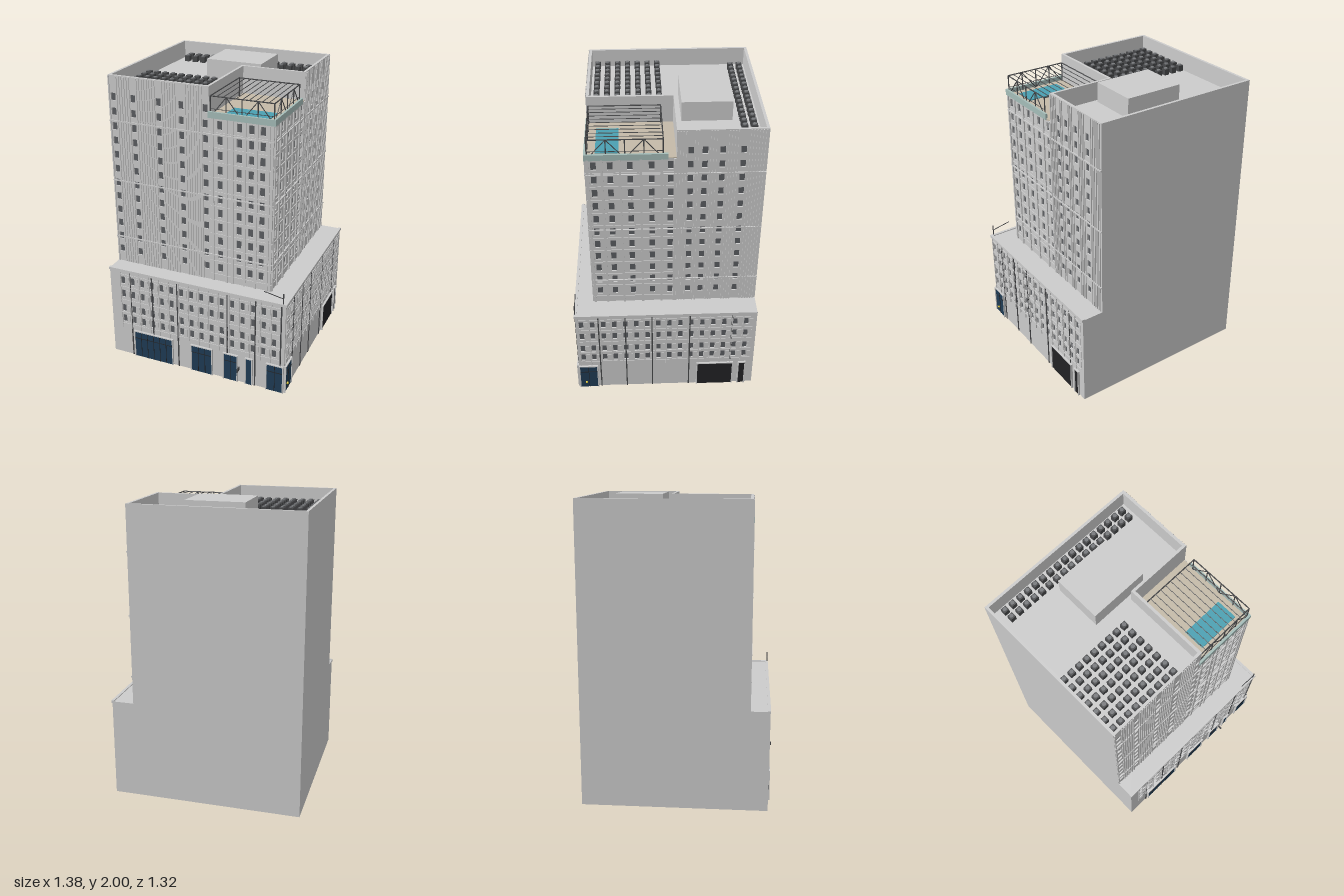
import * as THREE from 'three';
import { mergeGeometries } from 'three/addons/utils/BufferGeometryUtils.js';

const mat = (color) => new THREE.MeshStandardMaterial({ color, side: THREE.DoubleSide });
const GREY = mat(0xcccccc), GLASS = mat(0x5c5e62), DARK = mat(0x48494b), BLACK = mat(0x222225);
const BLUE = mat(0x1f3c55), WATER = mat(0x4aa0b2), DECK = mat(0xc4baa8), FASCIA = mat(0xa5bdb9), YELLOW = mat(0xd8c030);

// plan extents of podium and tower, and the inner corner of the terrace
const L = -0.643, B = -0.625, PR = 0.64, PF = 0.592, TR = 0.491, TF = 0.466, NX = 0.062, NZ = -0.08;
const PODIUM = 0.67, ROOF = 1.87, TOP = 1.99, TERRACE = 1.8, FLOOR = 0.0985;

// box given by its min and max corners
const box = (x0, x1, y0, y1, z0, z1) =>
  new THREE.BoxGeometry(x1 - x0, y1 - y0, z1 - z0).translate((x0 + x1) / 2, (y0 + y1) / 2, (z0 + z1) / 2);

// thin bar between two points
function bar(a, b, r = 0.003) {
  const p = new THREE.Vector3(...a), q = new THREE.Vector3(...b), d = q.clone().sub(p);
  const g = new THREE.CylinderGeometry(r, r, d.length(), 5);
  g.applyQuaternion(new THREE.Quaternion().setFromUnitVectors(new THREE.Vector3(0, 1, 0), d.normalize()));
  const m = p.add(q).multiplyScalar(0.5);
  return g.translate(m.x, m.y, m.z);
}

function add(parent, name, geos, material = GREY) {
  const mesh = new THREE.Mesh(mergeGeometries(geos), material);
  mesh.name = name;
  parent.add(mesh);
}

// wall with window openings and panes set behind; its outer face lies on z = 0
function facade(parent, name, x0, x1, y0, y1, windows) {
  const g = new THREE.Group();
  g.name = name;
  parent.add(g);
  const rect = (T, a, b, c, d) => {
    const s = new T();
    s.moveTo(a, c); s.lineTo(b, c); s.lineTo(b, d); s.lineTo(a, d); s.closePath();
    return s;
  };
  const wall = rect(THREE.Shape, x0, x1, y0, y1);
  wall.holes = windows.map(([x, y, w, h]) => rect(THREE.Path, x - w / 2, x + w / 2, y - h / 2, y + h / 2));
  add(g, 'wall', [new THREE.ExtrudeGeometry(wall, { depth: 0.012, bevelEnabled: false }).translate(0, 0, -0.012)]);
  add(g, 'windowPanes', windows.map(([x, y, w, h]) => box(x - w / 2, x + w / 2, y - h / 2, y + h / 2, -0.012, -0.009)), GLASS);
  return g;
}

const grid = (xs, ys, w, h) => xs.flatMap((x) => ys.map((y) => [x, y, w, h]));
const steps = (from, to, pitch) =>
  Array.from({ length: Math.floor((to - from) / pitch + 1.001) }, (_, i) => from + i * pitch);
const floors = (top, n) => Array.from({ length: n }, (_, i) => top - i * FLOOR);
const BANDS = [0.86, 1.275, 1.69];

// main tower facade: window columns, ribs between them and string bands
function wingFacade(parent, name, x0, x1, cols) {
  const g = facade(parent, name, x0, x1, PODIUM, TOP, grid(cols, floors(1.85, 12), 0.034, 0.05));
  const ribs = steps(x0 + 0.006, x1 - 0.006, 0.018).filter((x) => cols.every((c) => Math.abs(c - x) > 0.024));
  add(g, 'ribs', ribs.map((x) => box(x - 0.004, x + 0.004, PODIUM, TOP - 0.005, 0, 0.006)));
  add(g, 'bands', BANDS.map((y) => box(x0, x1, y - 0.004, y + 0.004, 0, 0.008)));
}

// corner facade under the terrace: windows in a lattice of piers and floor lines
function cornerFacade(parent, name, x0, x1, cols, piers) {
  const g = facade(parent, name, x0, x1, PODIUM, TERRACE, grid(cols, floors(1.752, 11), 0.034, 0.056));
  add(g, 'piers', piers.map((x) => box(x - 0.007, x + 0.007, PODIUM, TERRACE, 0, 0.008)));
  add(g, 'floorLines', floors(1.702, 11).map((y) => box(x0, x1, y - 0.003, y + 0.003, 0, 0.005)));
  add(g, 'bands', BANDS.map((y) => box(x0, x1, y - 0.004, y + 0.004, 0, 0.01)));
}

// podium facade: four window rows with light panels, joints, ribs and doors
function podiumFacade(parent, name, x0, x1, cols, joints, doors) {
  const rows = [0.286, 0.37, 0.485, 0.59];
  const g = facade(parent, name, x0, x1, 0, PODIUM, grid(cols, rows, 0.03, 0.056));
  add(g, 'lightPanels', grid(cols, rows).map(([x, y]) => box(x + 0.02, x + 0.044, y - 0.028, y + 0.028, 0, 0.004)));
  add(g, 'ribs', cols.map((x) => box(x - 0.024, x - 0.018, 0.21, PODIUM - 0.01, 0, 0.006)));
  add(g, 'sills', [0.245, 0.335, 0.435, 0.54, 0.635].map((y) => box(cols[0] - 0.02, cols.at(-1) + 0.045, y - 0.003, y + 0.003, 0, 0.004)));
  add(g, 'joints', joints.map((x) => box(x - 0.004, x + 0.004, 0, PODIUM, 0, 0.005)), DARK);
  for (const [a, b, m, panes] of doors) {
    add(g, 'doorFrame', [box(a - 0.007, a, 0, 0.207, 0, 0.014), box(b, b + 0.007, 0, 0.207, 0, 0.014), box(a, b, 0.2, 0.207, 0, 0.014)]);
    add(g, 'door', [box(a, b, 0, 0.2, 0, 0.008)], m);
    if (panes > 1) {
      const bars = Array.from({ length: panes - 1 }, (_, i) => a + ((b - a) * (i + 1)) / panes);
      add(g, 'doorBars', [...bars.map((x) => box(x - 0.0015, x + 0.0015, 0, 0.2, 0.008, 0.011)), box(a, b, 0.148, 0.151, 0.008, 0.011)], BLACK);
    }
  }
  return g;
}

export function createModel() {
  const model = new THREE.Group();
  model.name = 'highRise';
  const plan = new THREE.Group();
  plan.name = 'building';
  plan.rotation.y = -THREE.MathUtils.degToRad(4.15);
  model.add(plan);

  // front sides face +z, right-hand sides are turned to face +x
  const side = (name, x, z, turned) => {
    const g = new THREE.Group();
    g.name = name;
    g.position.set(x, 0, z);
    if (turned) g.rotation.y = Math.PI / 2;
    plan.add(g);
    return g;
  };
  const front = side('podiumFront', 0, PF), right = side('podiumSide', PR, 0, true);
  const towerFront = side('towerFront', 0, TF), towerSide = side('towerSide', TR, 0, true);

  // podium, hollow and open below
  podiumFacade(front, 'podiumFrontFacade', L, PR, steps(-0.545, 0.58, 0.074),
    [-0.49, -0.32, -0.13, 0.235, 0.435, 0.612],
    [[-0.467, -0.177, BLUE, 6], [-0.027, 0.122, BLUE, 3], [0.214, 0.307, BLUE, 2], [0.374, 0.414, BLUE, 1], [0.522, 0.632, BLUE, 2]]);
  const sideFacade = podiumFacade(right, 'podiumSideFacade', -PF, -B, steps(-0.555, 0.56, 0.074),
    [-0.44, -0.26, -0.08, 0.175, 0.46],
    [[-0.585, -0.467, BLUE, 2], [0.235, 0.478, BLACK, 1], [0.526, 0.565, BLACK, 1]]);
  add(sideFacade, 'doorKnob', [new THREE.SphereGeometry(0.009, 10, 8).translate(-0.545, 0.05, 0.012)], YELLOW);
  add(plan, 'podiumPlainWalls', [box(L, L + 0.01, 0, PODIUM, B, PF - 0.012), box(L, PR - 0.012, 0, PODIUM, B, B + 0.01)]);
  add(plan, 'podiumRoof', [box(L, PR, PODIUM - 0.012, PODIUM, B, PF)]);
  add(plan, 'podiumCoping', [box(L - 0.004, PR + 0.007, PODIUM - 0.012, PODIUM + 0.006, PF - 0.012, PF + 0.007),
    box(PR - 0.012, PR + 0.007, PODIUM - 0.012, PODIUM + 0.006, B, PF)]);
  add(plan, 'roofPole', [bar([0.622, PODIUM, 0.592], [0.622, 0.75, 0.592], 0.004), bar([0.49, 0.74, 0.592], [0.622, 0.715, 0.592])], DARK);
  add(plan, 'wallSign', [box(0.318, 0.326, 0.095, 0.12, PF, PF + 0.04)], DARK);

  // tower walls
  wingFacade(towerFront, 'wingFrontFacade', L, NX, [-0.61, -0.468, -0.287, -0.129, 0.035]);
  wingFacade(towerSide, 'wingSideFacade', -NZ, -B, [0.165, 0.25, 0.355, 0.48]);
  cornerFacade(towerFront, 'cornerFrontFacade', NX, TR, [0.133, 0.263, 0.343, 0.418], [0.085, 0.18, 0.22, 0.303, 0.38, 0.46, 0.482]);
  cornerFacade(towerSide, 'cornerSideFacade', -TF, -NZ, [-0.42, -0.32, -0.2, -0.07, 0.045], [-0.455, -0.37, -0.26, -0.135, -0.01, 0.072]);
  add(plan, 'towerPlainWalls', [box(L, L + 0.018, PODIUM, TOP, B, TF - 0.012), box(L, TR - 0.012, PODIUM, TOP, B, B + 0.018)]);

  // sunken main roof with its parapet
  add(plan, 'roof', [box(L, NX, ROOF - 0.01, ROOF, B, TF - 0.012), box(NX, TR - 0.012, ROOF - 0.01, ROOF, B, NZ)]);
  add(plan, 'parapet', [box(L, NX, ROOF, TOP, TF - 0.018, TF - 0.012), box(TR - 0.018, TR - 0.012, ROOF, TOP, B, NZ),
    box(NX - 0.018, NX, TERRACE, TOP, NZ - 0.018, TF - 0.012), box(NX, TR - 0.012, TERRACE, TOP, NZ - 0.018, NZ)]);
  add(plan, 'roofHouse', [box(-0.222, 0.171, ROOF, 2, -0.445, -0.125)]);

  // rooftop fan units
  const spots = [...grid(steps(-0.552, 0.42, 0.0607), [-0.566, -0.506]), ...grid(steps(-0.598, -0.11, 0.0607), steps(0.002, 0.411, 0.068))];
  add(plan, 'fanUnits', spots.map(([x, z]) => box(x - 0.018, x + 0.018, ROOF, ROOF + 0.04, z - 0.018, z + 0.018)), DARK);
  add(plan, 'fans', spots.map(([x, z]) => new THREE.CylinderGeometry(0.013, 0.013, 0.006, 10).translate(x, ROOF + 0.043, z)), mat(0x77797c));

  // terrace with pool and edge band
  add(plan, 'terraceDeck', [box(NX, TR, TERRACE - 0.01, TERRACE + 0.006, NZ, TF)], DECK);
  add(plan, 'pool', [box(0.145, 0.433, TERRACE, TERRACE + 0.012, 0.267, 0.408)], WATER);
  add(plan, 'terraceBand', [box(NX - 0.005, TR + 0.008, TERRACE - 0.005, 1.835, TF - 0.006, TF + 0.009),
    box(TR - 0.006, TR + 0.008, TERRACE - 0.005, 1.835, NZ + 0.05, TF + 0.009)], FASCIA);

  // braced frame and overhead beams above the terrace
  const y0 = TERRACE, y1 = 1.93, fx = TR - 0.008, fz = TF - 0.01, bx = NX + 0.006;
  const frame = [];
  const truss = (a, b, bays) => {
    const at = (i, y) => [a[0] + ((b[0] - a[0]) * i) / bays, y, a[1] + ((b[1] - a[1]) * i) / bays];
    frame.push(bar(at(0, y1), at(bays, y1), 0.004), bar(at(0, 1.85), at(bays, 1.85), 0.002));
    for (let i = 0; i <= bays; i++) {
      frame.push(bar(at(i, y0), at(i, y1), 0.004));
      if (i < bays) frame.push(i % 2 ? bar(at(i, y1), at(i + 1, y0)) : bar(at(i, y0), at(i + 1, y1)));
    }
  };
  truss([bx, fz], [fx, fz], 4);
  truss([fx, fz], [fx, 0], 4);
  frame.push(bar([bx, y1, 0], [fx, y1, 0], 0.004), bar([bx, y1, 0], [bx, y1, fz], 0.004), bar([bx, y0, 0], [bx, y1, 0], 0.004));
  for (const x of steps(bx + 0.042, fx - 0.02, 0.042)) frame.push(bar([x, y1, 0], [x, y1, fz], 0.0025));
  add(plan, 'terraceFrame', frame, DARK);

  return model;
}
